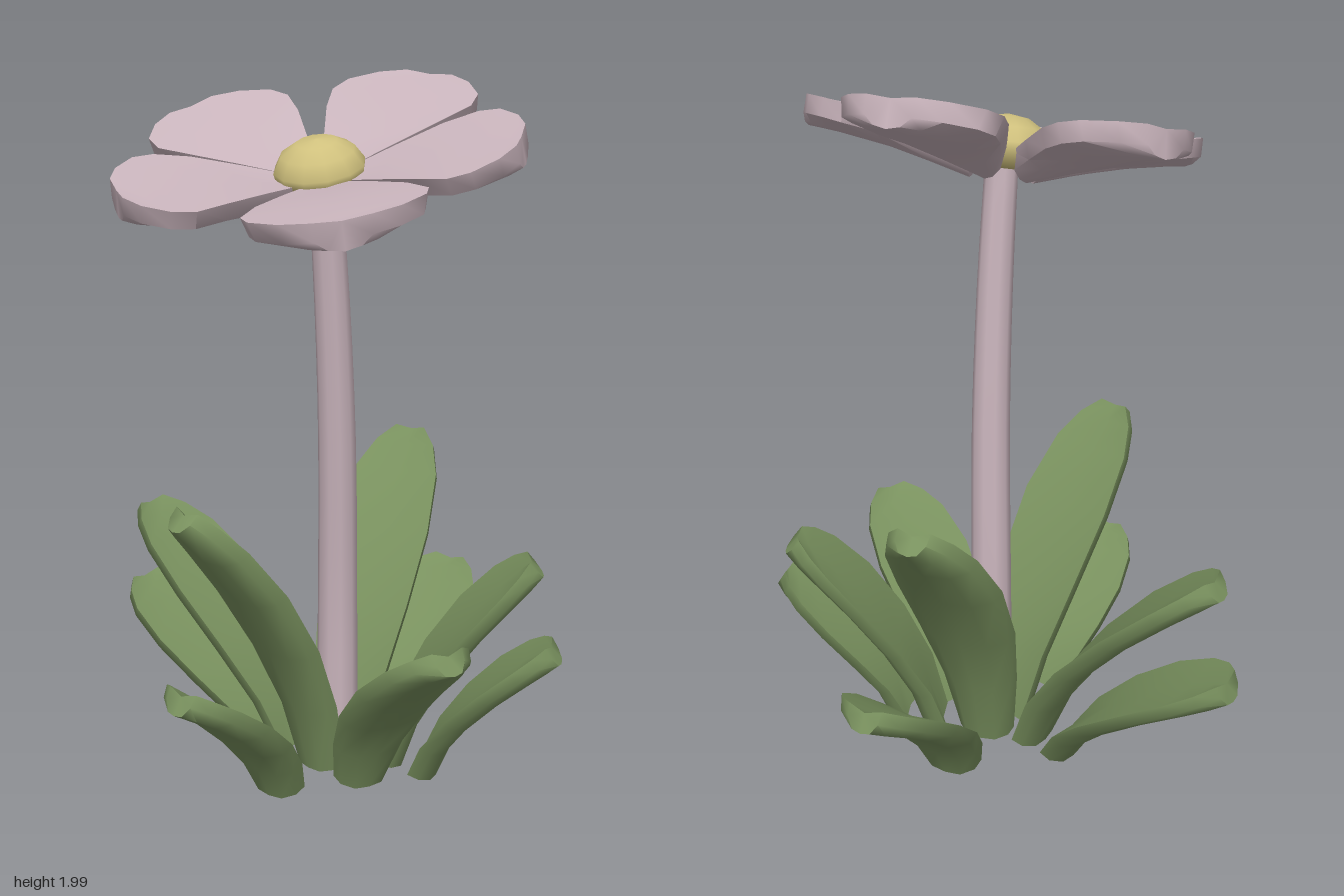
import * as THREE from 'three';
import { toCreasedNormals } from 'three/addons/utils/BufferGeometryUtils.js';

const material = (name, color) => {
  const m = new THREE.MeshStandardMaterial({ color });
  m.name = name;
  return m;
};

// Thick blade running along +x: each section is [r, y, halfWidth].
// Eight points per ring: a slightly dished top with a sharp edge,
// and sides that round smoothly into the underside.
function bladeGeometry(sections, rim, keel, dish) {
  const pos = [], idx = [], n = sections.length;
  sections.forEach(([r, y, w], i) => {
    const a = sections[Math.max(i - 1, 0)], b = sections[Math.min(i + 1, n - 1)];
    const len = Math.hypot(b[0] - a[0], b[1] - a[1]);
    const nx = -(b[1] - a[1]) / len, ny = (b[0] - a[0]) / len;
    const ring = [
      [-w, dish], [0, 0], [w, dish], [w * 0.94, dish - rim],
      [w * 0.55, -keel * 0.9], [0, -keel], [-w * 0.55, -keel * 0.9], [-w * 0.94, dish - rim],
    ];
    for (const [side, up] of ring) pos.push(r + nx * up, y + ny * up, side);
  });
  for (let i = 0; i < n - 1; i++) {
    for (let j = 0; j < 8; j++) {
      const a = i * 8 + j, b = i * 8 + (j + 1) % 8;
      idx.push(a, b, b + 8, a, b + 8, a + 8);
    }
  }
  // End caps
  const e = (n - 1) * 8;
  for (let j = 2; j < 8; j++) {
    const k = (j + 1) % 8;
    idx.push(1, k, j);
    idx.push(e + 1, e + j, e + k);
  }
  const g = new THREE.BufferGeometry();
  g.setAttribute('position', new THREE.Float32BufferAttribute(pos, 3));
  g.setIndex(idx);
  return toCreasedNormals(g, 1);
}

export function createModel() {
  const model = new THREE.Group();
  const green = material('leaf green', 0x7a925f);
  const pink = material('dusty pink', 0xc9b4bc);
  const yellow = material('pale yellow', 0xcfc07d);

  const add = (parent, name, geometry, mat) => {
    const mesh = new THREE.Mesh(geometry, mat);
    mesh.name = name;
    parent.add(mesh);
    return mesh;
  };

  // Leaves: tip x, tip z, tip height, base radius, half width
  const leaves = [
    [0.32, -0.44, 0.9, 0.05, 0.155], [-0.45, 0.28, 0.9, 0.05, 0.155],
    [-0.49, -0.49, 0.69, 0.13, 0.17], [0.55, 0.12, 0.65, 0.15, 0.165], [0.2, 0.56, 0.57, 0.15, 0.155],
    [-0.51, -0.57, 0.42, 0.24, 0.18], [0.47, -0.51, 0.44, 0.24, 0.165],
    [-0.48, 0.4, 0.44, 0.24, 0.155], [0.56, 0.3, 0.46, 0.26, 0.155],
  ];
  const leafProfile = [[0, 0.52], [0.2, 0.72], [0.42, 0.93], [0.65, 1], [0.84, 0.85], [0.94, 0.6], [1, 0.3]];
  const foliage = new THREE.Group();
  foliage.name = 'leaves';
  model.add(foliage);
  for (const [x, z, h, base, halfWidth] of leaves) {
    const reach = Math.hypot(x, z);
    const sections = leafProfile.map(([t, w]) => [
      base + (reach - base) * t ** 1.35,
      0.04 + (h - 0.04) * t * (1.25 - 0.25 * t),
      halfWidth * w,
    ]);
    const leaf = add(foliage, 'leaf', bladeGeometry(sections, 0.035, 0.055, 0.015), green);
    leaf.rotation.y = -Math.atan2(z, x);
  }

  // Stem: curved and tapering toward the flower
  const path = new THREE.CatmullRomCurve3([
    [0.015, 0.08, -0.04], [0.015, 0.5, -0.035], [0.007, 1, 0], [-0.012, 1.4, 0.03], [-0.037, 1.74, 0.055],
  ].map((p) => new THREE.Vector3(...p)));
  const stemGeometry = new THREE.CylinderGeometry(0.045, 0.062, 1, 10, 12);
  const p = stemGeometry.attributes.position;
  for (let i = 0; i < p.count; i++) {
    const c = path.getPoint(p.getY(i) + 0.5);
    p.setXYZ(i, p.getX(i) + c.x, c.y, p.getZ(i) + c.z);
  }
  add(model, 'stem', toCreasedNormals(stemGeometry, 0.8), pink);

  // Flower head, tilted toward the front and one side
  const flower = new THREE.Group();
  flower.name = 'flower';
  flower.position.set(-0.05, 1.755, 0.07);
  flower.quaternion.setFromUnitVectors(
    new THREE.Vector3(0, 1, 0), new THREE.Vector3(-0.17, 1, 0.23).normalize());
  model.add(flower);

  // Five broad petals, slightly unevenly spaced
  const petalGeometry = bladeGeometry([
    [0.07, -0.005, 0.045], [0.18, 0.025, 0.115], [0.3, 0.055, 0.19], [0.39, 0.07, 0.232],
    [0.45, 0.08, 0.218], [0.51, 0.087, 0.15], [0.54, 0.09, 0.075],
  ], 0.05, 0.075, 0.006);
  for (const angle of [94, 172, 239, 317, 25]) {
    const petal = add(flower, 'petal', petalGeometry, pink);
    petal.rotation.y = -THREE.MathUtils.degToRad(angle);
  }

  // Domed centre
  const dome = [[0, -0.045], [0.095, -0.045], [0.12, 0], [0.124, 0.025], [0.1, 0.065], [0.055, 0.092], [0, 0.1]];
  const centre = new THREE.LatheGeometry(dome.map(([x, y]) => new THREE.Vector2(x, y)), 12);
  add(flower, 'flower centre', centre, yellow);

  return model;
}
